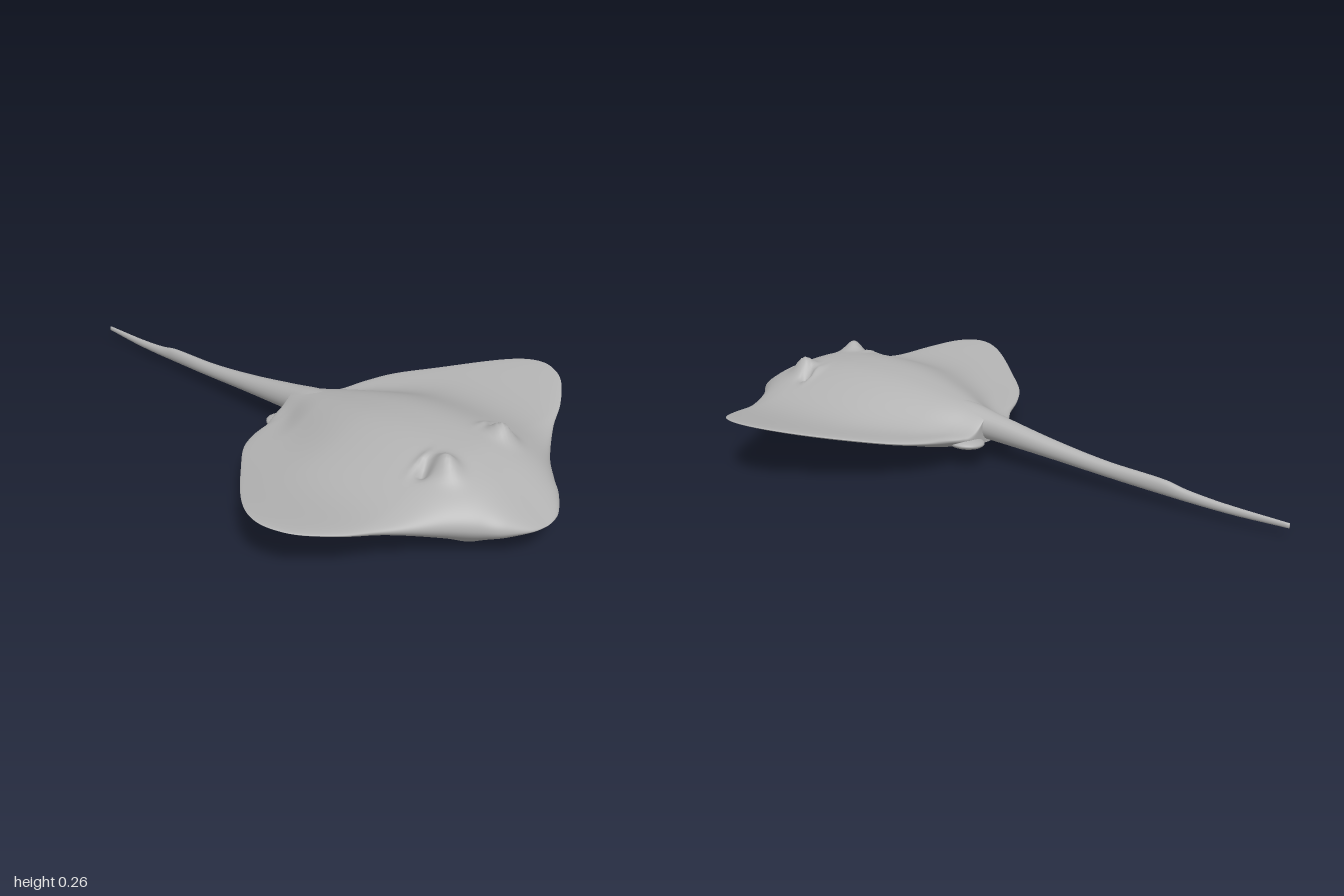
import * as THREE from 'three';

const skin = new THREE.MeshStandardMaterial({ color: 0xb2b2b2 });
skin.name = 'grey skin';

// Smooth lookup in a table of [key, value] rows with rising keys
function lookup(table, k) {
  const n = table.length;
  if (k <= table[0][0]) return table[0][1];
  if (k >= table[n - 1][0]) return table[n - 1][1];
  let i = 0;
  while (table[i + 1][0] < k) i++;
  const slope = (j) => {
    const a = table[Math.max(j - 1, 0)], b = table[Math.min(j + 1, n - 1)];
    return (b[1] - a[1]) / (b[0] - a[0]);
  };
  const [k0, v0] = table[i], [k1, v1] = table[i + 1];
  const h = k1 - k0, t = (k - k0) / h, t2 = t * t, t3 = t2 * t;
  return (2 * t3 - 3 * t2 + 1) * v0 + (t3 - 2 * t2 + t) * h * slope(i)
    + (3 * t2 - 2 * t3) * v1 + (t3 - t2) * h * slope(i + 1);
}

// Skin over closed rings; point(i, j) gives [x, y, z], rings run front to back
function loft(rings, cols, point) {
  const pos = [], index = [];
  for (let i = 0; i <= rings; i++) {
    for (let j = 0; j < cols; j++) {
      pos.push(...point(i, j));
      if (i === rings) continue;
      const a = i * cols + j, b = i * cols + (j + 1) % cols;
      index.push(a, a + cols, b, b, a + cols, b + cols);
    }
  }
  const g = new THREE.BufferGeometry();
  g.setAttribute('position', new THREE.Float32BufferAttribute(pos, 3));
  g.setIndex(index);
  g.computeVertexNormals();
  return g;
}

// Soft round lump at (cx, cz), used for surface details
const lump = (x, z, cx, cz, rx, rz) =>
  Math.exp(-(((x - cx) / rx) ** 2) - ((z - cz) / rz) ** 2);

// Half outline of the disc as (z, half width), snout to tail root
const outline = new THREE.SplineCurve([
  [0.997, 0], [0.985, 0.06], [0.94, 0.13], [0.89, 0.18], [0.82, 0.26], [0.74, 0.39], [0.695, 0.49],
  [0.635, 0.58], [0.58, 0.62], [0.52, 0.632], [0.45, 0.61], [0.365, 0.55], [0.25, 0.445],
  [0.15, 0.345], [0.1, 0.26], [0.072, 0.18], [0.045, 0.13], [0.03, 0.09], [0.03, 0],
].map((p) => new THREE.Vector2(...p)));

// Centre line heights and the widths of the raised back and belly, by z
const backTop = [[0.03, 0.165], [0.1, 0.18], [0.2, 0.203], [0.3, 0.224], [0.4, 0.24], [0.5, 0.248],
  [0.6, 0.248], [0.7, 0.24], [0.75, 0.232], [0.8, 0.216], [0.85, 0.195], [0.9, 0.165], [0.96, 0.125], [0.997, 0.1]];
const bellyLow = [[0.03, 0.07], [0.1, 0.045], [0.2, 0.02], [0.3, 0.01], [0.4, 0.004], [0.6, 0.006],
  [0.75, 0.004], [0.82, 0.014], [0.9, 0.045], [0.96, 0.08], [0.997, 0.1]];
const backWidth = [[0.03, 0.06], [0.1, 0.09], [0.2, 0.16], [0.4, 0.245], [0.7, 0.26], [1, 0.26]];
const bellyWidth = [[0.03, 0.12], [0.2, 0.22], [0.4, 0.3], [1, 0.3]];

function discGeometry() {
  const rings = 162, cols = 160;
  const stations = outline.getPoints(rings);
  return loft(rings, cols, (i, j) => {
    const z = stations[i].x, w = Math.max(stations[i].y, 0);
    const angle = j / cols * Math.PI * 2;
    const u = Math.cos(angle), side = Math.sin(angle), x = w * u, ax = Math.abs(x);
    // Wing plane curls up towards the tips, a little more on one side
    const plane = 0.1 + 0.095 * (ax / 0.63) ** 1.7 + 0.02 * x * ax / 0.4;
    const rim = Math.sqrt(Math.max(0, 1 - u ** 4));
    let y;
    if (side >= 0) {
      const g = Math.exp(-((ax / lookup(backWidth, z)) ** 2.4));
      y = plane + rim * ((lookup(backTop, z) - 0.1) * g + 0.014 * (1 - g));
      // Eyes, with a breathing hole behind each
      y += rim * (0.042 * lump(ax, z, 0.128, 0.735, 0.032, 0.042)
        - 0.028 * lump(ax, z, 0.168, 0.69, 0.022, 0.022)
        + 0.012 * lump(ax, z, 0.15, 0.665, 0.04, 0.014));
    } else {
      const g = Math.exp(-((ax / lookup(bellyWidth, z)) ** 1.8));
      y = plane - rim * ((0.1 - lookup(bellyLow, z)) * g + 0.01 * (1 - g));
      // Mouth hollow and cheeks
      y += rim * (0.022 * lump(x, z, 0, 0.9, 0.06, 0.022)
        - 0.012 * lump(ax, z, 0.13, 0.83, 0.05, 0.04));
    }
    return [x, y, z];
  });
}

// Tail: half width, top and bottom by z
const tailWidth = [[-1, 0.005], [-0.8, 0.011], [-0.6, 0.016], [-0.4, 0.021], [-0.2, 0.029], [0, 0.042], [0.1, 0.055], [0.2, 0.06]];
const tailTop = [[-1, 0.054], [-0.8, 0.062], [-0.68, 0.074], [-0.61, 0.088], [-0.4, 0.101], [-0.2, 0.128], [0, 0.165], [0.1, 0.184], [0.2, 0.195]];
const tailLow = [[-1, 0.038], [-0.8, 0.034], [-0.5, 0.045], [-0.2, 0.064], [0, 0.075], [0.1, 0.08], [0.2, 0.08]];

function tailGeometry() {
  const rings = 80, cols = 24;
  return loft(rings, cols, (i, j) => {
    const z = Math.max(0.2 - 1.2 * i / (rings - 1), -1);
    const size = i === rings ? 0 : 1;
    const a = j / cols * Math.PI * 2, top = lookup(tailTop, z), low = lookup(tailLow, z);
    return [size * lookup(tailWidth, z) * Math.cos(a), (top + low) / 2 + size * (top - low) / 2 * Math.sin(a), z];
  });
}

export function createModel() {
  const model = new THREE.Group();
  model.name = 'ray';
  const add = (name, geometry) => {
    const mesh = new THREE.Mesh(geometry, skin);
    mesh.name = name;
    model.add(mesh);
    return mesh;
  };
  add('body', discGeometry());
  add('tail', tailGeometry());
  // Small rounded fins beside the tail root
  for (const s of [1, -1]) {
    const fin = add(s > 0 ? 'leftPelvicFin' : 'rightPelvicFin', new THREE.SphereGeometry(1, 32, 20));
    fin.scale.set(0.058, 0.018, 0.062);
    fin.position.set(s * 0.09, 0.085, 0.062);
    fin.rotation.z = s * 0.1;
  }
  return model;
}
